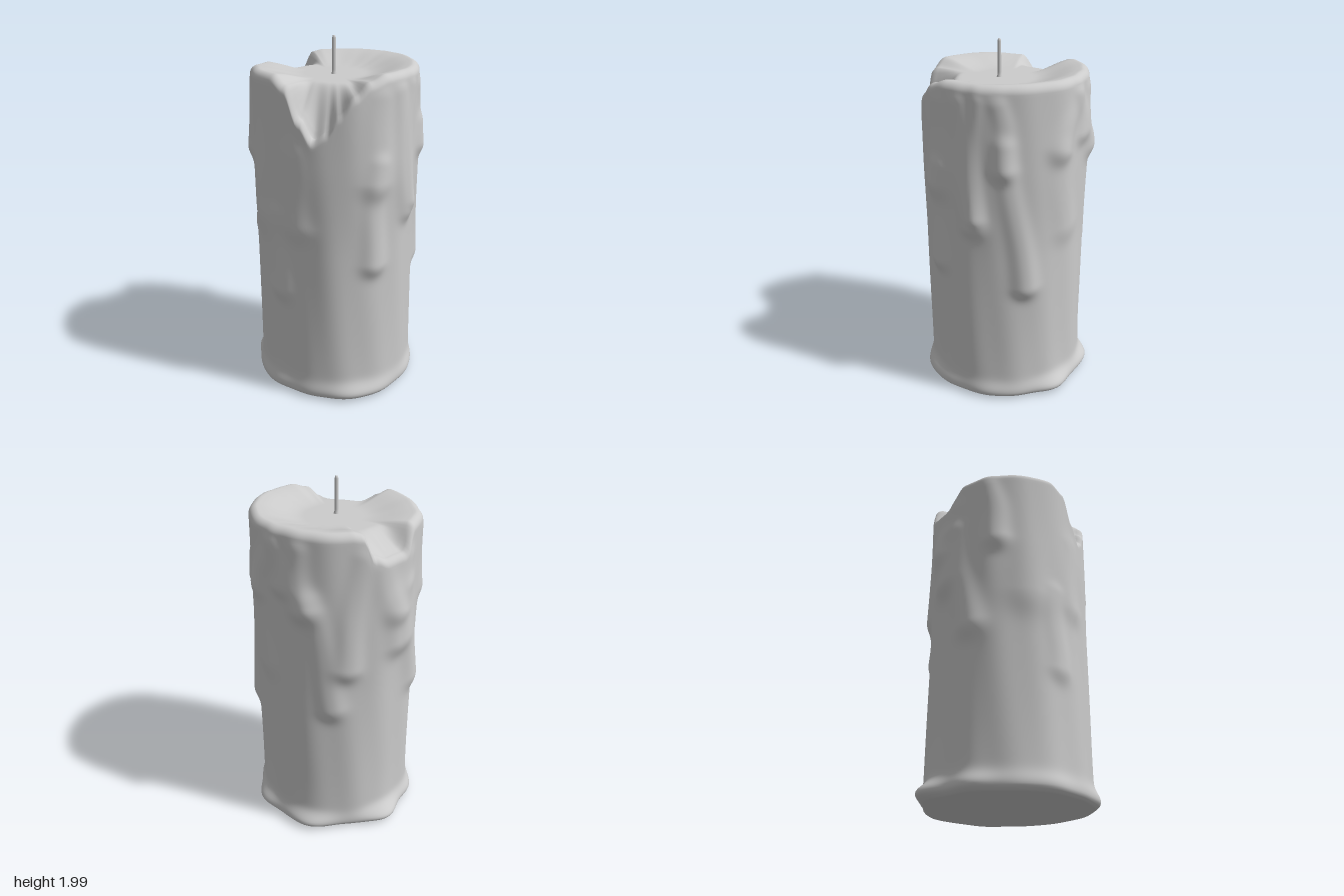
import * as THREE from 'three';

const RAD = Math.PI / 180;
const CX = -0.01, CZ = 0.015, R = 0.445, LIP = 0.045, POOL = 1.795;
const SEG = 200, WALL = 120, LIPROWS = 8, TOP = 32;
const smooth = THREE.MathUtils.smoothstep, lerp = THREE.MathUtils.lerp;

// Signed difference of two angles in degrees; 0 is the front, 90 is +x
const turn = (a, b) => ((a - b + 540) % 360 + 360) % 360 - 180;

// Rim height round the top: [angle, height], with a spillway in front and a notch behind
const RIM = [
  [-180, 1.73], [-170, 1.7], [-155, 1.7], [-141, 1.825], [-100, 1.84], [-74, 1.845],
  [-62, 1.8], [-52, 1.64], [-42, 1.54], [-33, 1.58], [-25, 1.67], [-14, 1.765], [-4, 1.825],
  [10, 1.855], [60, 1.86], [120, 1.86], [165, 1.855], [172, 1.845], [180, 1.73],
];

// Wax runs: [top angle, top y, end angle, end y, half width, thickness]
const DRIPS = [
  [4, 1.74, 1, 1.3, 0.085, 0.026], [3, 1.4, -1, 0.84, 0.07, 0.032],
  [20, 1.76, 31, 1.1, 0.065, 0.03], [34, 1.78, 33, 1.15, 0.045, 0.02],
  [50, 1.76, 54, 1.43, 0.06, 0.028], [54, 1.55, 67, 0.74, 0.07, 0.036],
  [108, 1.76, 93, 1.5, 0.07, 0.025], [91, 1.5, 99, 1.05, 0.09, 0.014],
  [112, 1.78, 118, 1.55, 0.06, 0.022], [128, 1.76, 132, 1.45, 0.075, 0.036],
  [138, 1.5, 154, 0.85, 0.075, 0.026], [172, 1.72, 162, 1.1, 0.075, 0.032],
  [-172, 1.66, -158, 1.2, 0.085, 0.032], [-150, 1.66, -160, 1.4, 0.075, 0.025],
  [-148, 1.5, -135, 0.9, 0.085, 0.036], [-120, 1.76, -113, 1.4, 0.07, 0.03],
  [-88, 1.78, -90, 1.08, 0.13, 0.02], [-56, 1.45, -53, 1.05, 0.08, 0.018],
  [-72, 1.1, -70, 0.66, 0.07, 0.022],
];

// Wax spread at the foot: [angle, angular width, amount]
const FEET = [
  [-12, 24, 0.03], [92, 18, 0.042], [135, 17, 0.042], [-168, 16, 0.06],
  [-130, 18, 0.025], [-80, 26, 0.014], [45, 18, 0.014],
];

function rimHeight(deg) {
  const i = RIM.findIndex((k) => k[0] > deg);
  const [a, b] = [RIM[i - 1], RIM[i]];
  return lerp(a[1], b[1], smooth(deg, a[0], b[0]));
}

// Height added by one run: a soft capsule that thickens toward its end
function drip([a0, y0, a1, y1, w, h], deg, y) {
  const px = turn(deg, a0) * RAD * R, sx = turn(a1, a0) * RAD * R;
  const py = y - y0, sy = y1 - y0;
  const t = THREE.MathUtils.clamp((px * sx + py * sy) / (sx * sx + sy * sy), 0, 1);
  const wander = 0.012 * Math.sin(t * 5 + a0);
  const d = Math.hypot(px - sx * t - wander, py - sy * t) / (w * (0.75 + 0.25 * t));
  return h * (0.4 + 0.6 * t * t) * Math.exp(-(d ** 2.4));
}

function wallRadius(deg, y) {
  const a = deg * RAD;
  let r = R + 0.004 * Math.sin(3 * a + 1 + y) + 0.003 * Math.sin(7 * a - 2 * y)
    + 0.002 * Math.sin(13 * a + 3 * y) + 0.008 * smooth(y, 0.9, 1.4);
  for (const d of DRIPS) r += drip(d, deg, y);
  for (const [fa, fw, amount] of FEET) {
    const side = Math.exp(-((turn(deg, fa) / fw) ** 2));
    r += amount * side * Math.exp(-(((y - 0.05) / 0.05) ** 2));
    // faint web of wax climbing from each foot
    r += amount * 0.25 * side * side * Math.exp(-((y / 0.22) ** 2));
  }
  r += 0.006 * Math.exp(-(((y - 0.05) / 0.05) ** 2));
  return r - 0.03 * Math.max(0, 1 - y / 0.04) ** 2;
}

// Melted top: a shallow bowl, falling away steeply where the rim is broken
function poolHeight(deg, s) {
  const rim = rimHeight(deg);
  return lerp(POOL, rim, smooth(s, rim < POOL ? 0.6 : 0.4, 1.05));
}

// One closed skin: base disc, dripping wall, rounded lip and melted pool
function waxBody() {
  const rows = [];
  for (const s of [0.001, 0.5, 0.92]) rows.push((deg) => [wallRadius(deg, 0) * s, 0.008]);
  for (let j = 0; j <= WALL; j++) rows.push((deg) => {
    const y = 0.008 + (rimHeight(deg) - LIP - 0.008) * (j / WALL) ** 1.15;
    return [wallRadius(deg, y), y];
  });
  for (let j = 1; j <= LIPROWS; j++) rows.push((deg) => {
    const p = (j / LIPROWS) * Math.PI / 2, y0 = rimHeight(deg) - LIP;
    return [wallRadius(deg, y0) - LIP * (1 - Math.cos(p)), y0 + LIP * Math.sin(p)];
  });
  for (let j = 1; j <= TOP; j++) rows.push((deg) => {
    const s = Math.max(1 - j / TOP, 0.001);
    return [(wallRadius(deg, rimHeight(deg) - LIP) - LIP) * s, poolHeight(deg, s)];
  });

  const pos = [], index = [];
  rows.forEach((row, j) => {
    for (let i = 0; i < SEG; i++) {
      const deg = -180 + (360 * i) / SEG;
      const [r, y] = row(deg);
      pos.push(CX + r * Math.sin(deg * RAD), y, CZ + r * Math.cos(deg * RAD));
      if (j === rows.length - 1) continue;
      const k = (i + 1) % SEG, a = j * SEG, b = a + SEG;
      index.push(a + i, a + k, b + i, a + k, b + k, b + i);
    }
  });
  const geo = new THREE.BufferGeometry();
  geo.setAttribute('position', new THREE.Float32BufferAttribute(pos, 3));
  geo.setIndex(index);
  geo.computeVertexNormals();
  return geo;
}

export function createModel() {
  const group = new THREE.Group();
  group.name = 'candle';
  const material = new THREE.MeshStandardMaterial({ color: 0xcccccc });
  const add = (name, geo) => {
    const mesh = new THREE.Mesh(geo, material);
    mesh.name = name;
    group.add(mesh);
  };

  add('waxBody', waxBody());

  // Thin wick with a rounded tip and a small skirt where it leaves the pool
  const wick = [[0.017, 1.79], [0.012, 1.803], [0.01, 1.82], [0.01, 1.985], [0.007, 1.997], [0, 2]];
  const wickGeo = new THREE.LatheGeometry(wick.map(([x, y]) => new THREE.Vector2(x, y)), 12);
  wickGeo.translate(-0.03, 0, 0.035);
  add('wick', wickGeo);
  return group;
}
